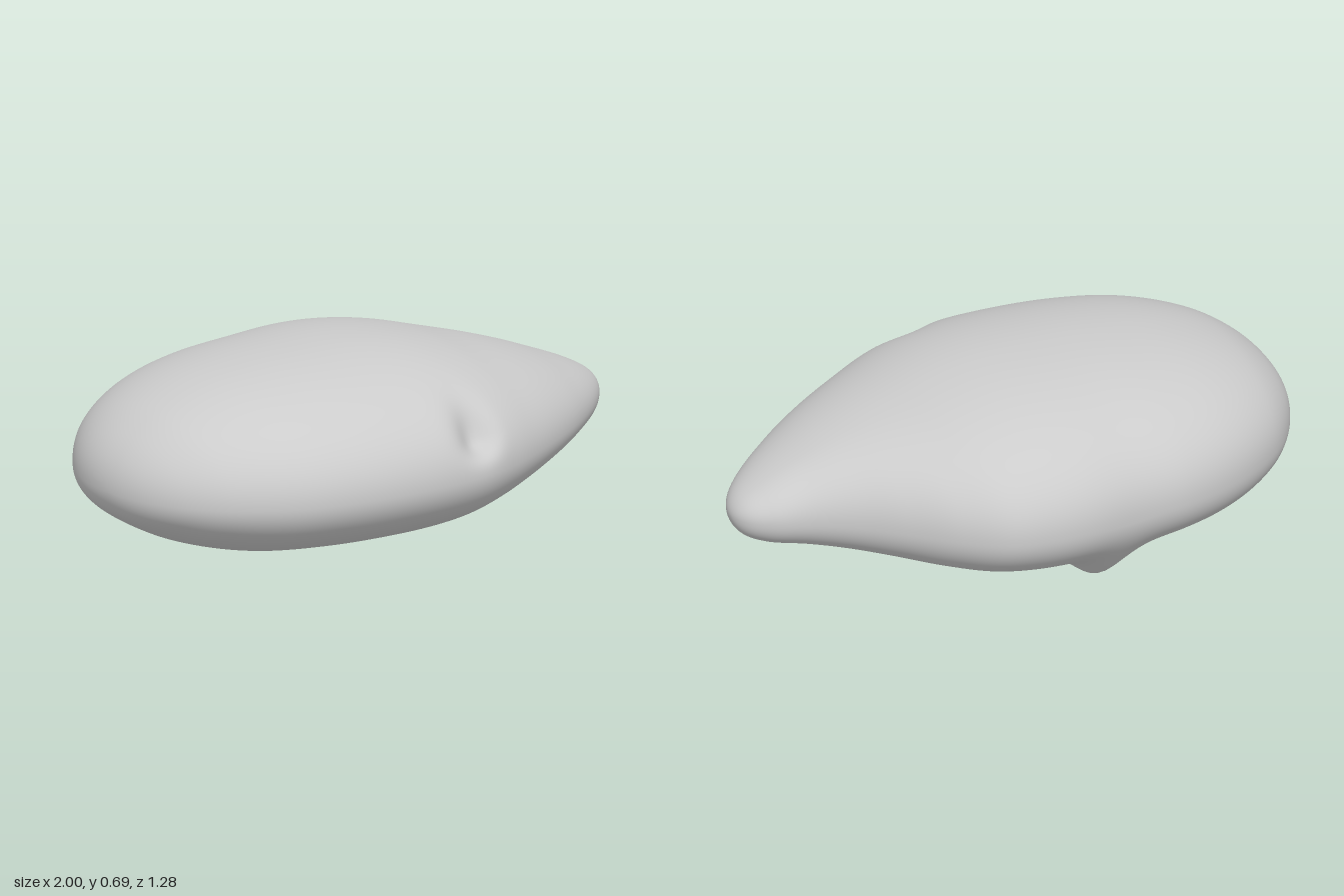
import * as THREE from 'three';

// Cross-section stations along x: [x, rise, drop, reach to front, reach to back]
const STATIONS = [
  [-1, 0, 0, 0, 0],
  [-0.97, 0.105, 0.08, 0.175, 0.19],
  [-0.9, 0.185, 0.135, 0.31, 0.325],
  [-0.8, 0.25, 0.187, 0.42, 0.435],
  [-0.6, 0.315, 0.243, 0.545, 0.555],
  [-0.4, 0.343, 0.265, 0.603, 0.612],
  [-0.2, 0.354, 0.275, 0.63, 0.622],
  [0, 0.354, 0.277, 0.635, 0.64],
  [0.13, 0.342, 0.268, 0.622, 0.632],
  [0.27, 0.315, 0.245, 0.575, 0.597],
  [0.4, 0.279, 0.217, 0.515, 0.505],
  [0.53, 0.243, 0.185, 0.447, 0.38],
  [0.65, 0.203, 0.157, 0.375, 0.27],
  [0.77, 0.155, 0.13, 0.29, 0.188],
  [0.9, 0.098, 0.1, 0.18, 0.13],
  [0.97, 0.056, 0.064, 0.095, 0.078],
  [1, 0, 0, 0, 0],
];
const ROWS = 160, COLS = 192, MID = 0.333;
const bell = (d, s) => Math.exp(-0.5 * (d / s) ** 2);

// Local features: a dent on the upper front and a nub under the back
function sculpt(p) {
  if (p.z > 0) {
    const dy = p.y - 0.46;
    const dent = 0.06 * bell(p.x - 0.095, 0.05) * bell(dy, dy < 0 ? 0.04 : 0.06);
    p.y -= dent * 0.5;
    p.z -= dent * 0.85;
  } else if (p.y < MID) {
    const dz = p.z + 0.355;
    p.y -= 0.1 * bell(p.x + 0.165, 0.07) * bell(dz, dz > 0 ? 0.045 : 0.115);
  }
  return p;
}

function bodyGeometry() {
  // Stations are spaced by angle so that both ends close roundly
  const profile = new THREE.CubicInterpolant(
    STATIONS.map(([x]) => Math.acos(-x)), STATIONS.flatMap((s) => s.slice(1)), 4, []);
  const pos = [-1, MID, 0], index = [];

  // Oval loops from the blunt end to the tip
  for (let i = 1; i < ROWS; i++) {
    const t = (i / ROWS) * Math.PI, x = -Math.cos(t);
    const [rise, drop, front, back] = profile.evaluate(t);
    for (let j = 0; j < COLS; j++) {
      const a = (j / COLS) * 2 * Math.PI, c = Math.cos(a), s = Math.sin(a);
      const k = c > 0 ? 0.98 : 0.92;
      const y = MID + (s > 0 ? rise : -drop) * Math.abs(s) ** k;
      const z = (c > 0 ? front : -back) * Math.abs(c) ** k;
      const p = sculpt(new THREE.Vector3(x, y, z));
      pos.push(p.x, p.y, p.z);
    }
  }
  pos.push(1, MID, 0);

  const last = pos.length / 3 - 1;
  const at = (i, j) => 1 + (i - 1) * COLS + (j % COLS);
  for (let j = 0; j < COLS; j++) {
    index.push(0, at(1, j), at(1, j + 1));
    for (let i = 1; i < ROWS - 1; i++) {
      const a = at(i, j), b = at(i + 1, j), c = at(i + 1, j + 1), d = at(i, j + 1);
      index.push(a, b, c, a, c, d);
    }
    index.push(last, at(ROWS - 1, j + 1), at(ROWS - 1, j));
  }

  const geo = new THREE.BufferGeometry();
  geo.setAttribute('position', new THREE.Float32BufferAttribute(pos, 3));
  geo.setIndex(index);
  geo.computeVertexNormals();
  return geo;
}

export function createModel() {
  const group = new THREE.Group();
  group.name = 'pebble';
  const body = new THREE.Mesh(bodyGeometry(), new THREE.MeshStandardMaterial({ color: 0xcccccc }));
  body.name = 'body';
  group.add(body);
  return group;
}
